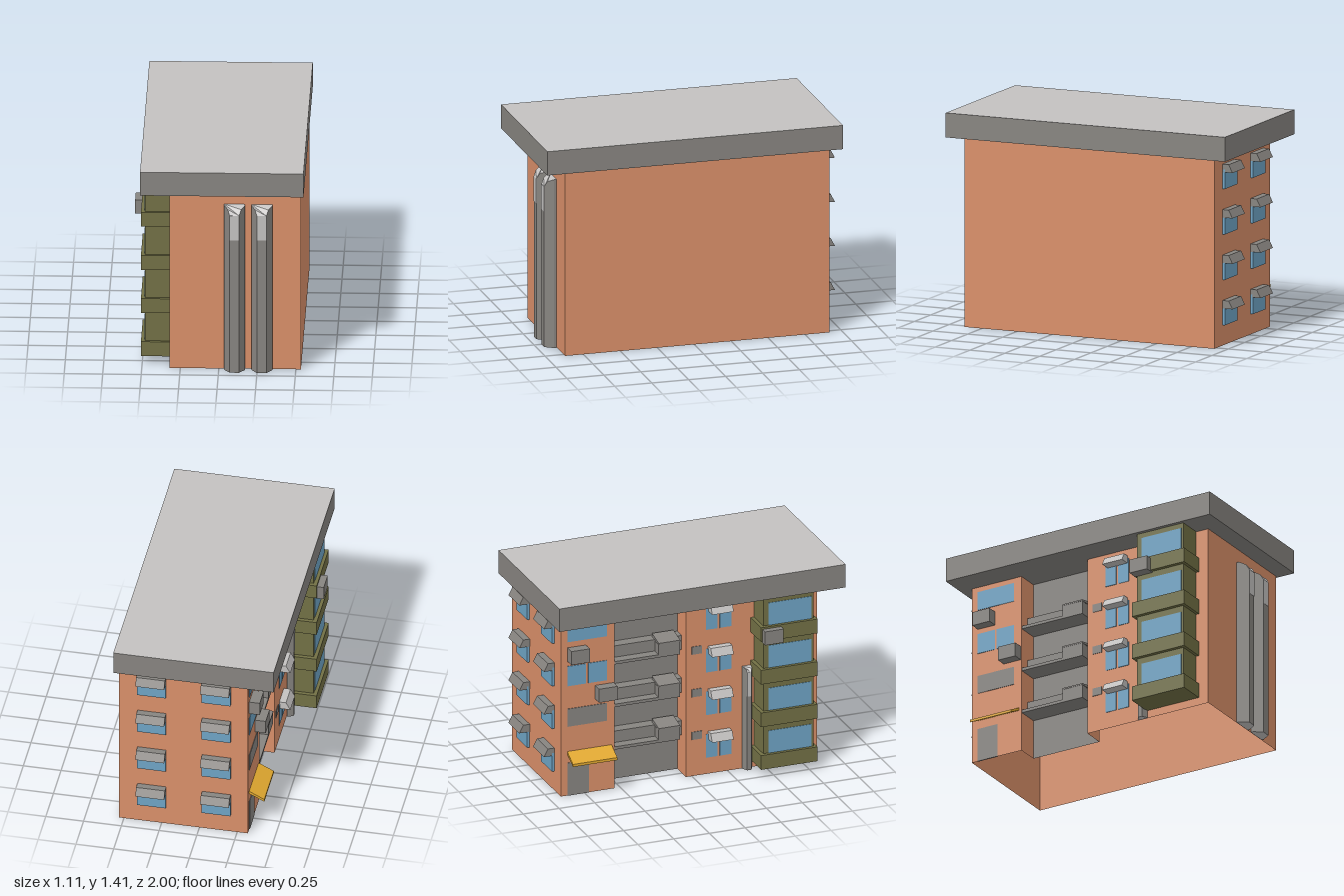
import * as THREE from 'three';

const material = (name, color, side = THREE.FrontSide) => {
  const m = new THREE.MeshStandardMaterial({ color, side });
  m.name = name;
  return m;
};

export function createModel() {
  const model = new THREE.Group();
  model.name = 'apartmentBlock';
  const brick = material('brick', 0xd98f69, THREE.DoubleSide);
  const concrete = material('concrete', 0x878480, THREE.DoubleSide);
  const paleGrey = material('paleGrey', 0xc3c1c0);
  const olive = material('olive', 0x727045);
  const glass = material('glass', 0x6ea3c4);
  const yellow = material('yellow', 0xe0a830);

  const add = (parent, name, geometry, mat) => {
    const mesh = new THREE.Mesh(geometry, mat);
    mesh.name = name;
    parent.add(mesh);
    return mesh;
  };
  // Box given by its two extreme corners
  const box = (parent, name, mat, x0, x1, y0, y1, z0, z1) => {
    const g = new THREE.BoxGeometry(x1 - x0, y1 - y0, z1 - z0);
    g.translate((x0 + x1) / 2, (y0 + y1) / 2, (z0 + z1) / 2);
    return add(parent, name, g, mat);
  };
  // Prism along x with a profile of [outwards z, y] points
  const prism = (parent, name, mat, profile, x0, x1) => {
    const shape = new THREE.Shape(profile.map(p => new THREE.Vector2(...p)));
    const g = new THREE.ExtrudeGeometry(shape, { depth: x1 - x0, bevelEnabled: false });
    g.rotateY(-Math.PI / 2).translate(x1, 0, 0);
    return add(parent, name, g, mat);
  };

  // Walls: an open shell around the plan, with a recess on one side
  const TOP = 1.245;
  const plan = [
    [-0.32, 0.875], [0.533, 0.875], [0.533, -0.915], [-0.32, -0.915],
    [-0.32, -0.54], [-0.17, -0.54], [-0.17, -0.04], [-0.32, -0.04],
  ];
  plan.forEach(([ax, az], i) => {
    const [bx, bz] = plan[(i + 1) % plan.length];
    const g = new THREE.PlaneGeometry(Math.hypot(bx - ax, bz - az), TOP);
    g.rotateY(Math.atan2(az - bz, bx - ax));
    g.translate((ax + bx) / 2, TOP / 2, (az + bz) / 2);
    add(model, i === 5 ? 'recessWall' : 'wall', g, i === 5 ? concrete : brick);
  });

  // Roof slab with a pale top
  const roof = box(model, 'roof', concrete, -0.508, 0.553, TOP, 1.407, -1, 1);
  roof.material = [concrete, concrete, paleGrey, concrete, concrete, concrete];

  // Facade frames: local z points out of the wall
  const facade = (name, x, z, turn) => {
    const group = new THREE.Group();
    group.name = name;
    group.position.set(x, 0, z);
    group.rotation.y = turn;
    model.add(group);
    return group;
  };
  const front = facade('frontFacade', 0, 0.875, 0);
  const back = facade('backFacade', 0, -0.915, Math.PI);
  const side = facade('sideFacade', -0.32, 0, -Math.PI / 2); // local x = world z

  const awning = (parent, mat, x0, x1, y) => prism(parent, 'windowAwning', mat,
    [[0, y + 0.245], [0.073, y + 0.245], [0.045, y + 0.298], [0, y + 0.298]], x0, x1);
  const panel = (name, mat, x0, x1, y0, y1) =>
    box(side, name, mat, x0, x1, y0, y1, -0.004, 0.004);

  for (let floor = 0; floor < 4; floor++) {
    const y = floor * 0.3;
    // Back windows
    for (const [x0, x1] of [[-0.41, -0.22], [0.018, 0.208]]) {
      box(back, 'windowPane', glass, x0, x1, y + 0.135, y + 0.265, 0.001, 0.018);
      awning(back, concrete, x0, x1, y);
    }
    // Paired windows of the middle side wall
    panel('sidePane', glass, 0.1, 0.18, y + 0.115, y + 0.28);
    panel('sidePane', glass, 0.195, 0.275, y + 0.115, y + 0.28);
    awning(side, paleGrey, 0.115, 0.265, y);
    if (floor < 3) panel('vent', concrete, 0.0, 0.07, y + 0.255, y + 0.31);

    // Bay tower belts and glazing
    box(model, 'bayBelt', olive, -0.508, -0.322, y + 0.053, y + 0.153, 0.41, 0.805);
    box(model, 'bayWindow', glass, -0.486, -0.48, y + 0.153, y + 0.31, 0.47, 0.77);

    // Recessed balconies on the upper floors
    if (floor > 0) {
      const b = y - 0.03;
      box(model, 'balconyParapet', concrete, -0.25, -0.172, b, b + 0.1, -0.538, -0.042);
      box(model, 'balconyFloor', concrete, -0.318, -0.172, b, b + 0.02, -0.538, -0.23);
      box(model, 'balconyBox', concrete, -0.318, -0.25, b, b + 0.09, -0.23, -0.08);
      prism(side, 'balconyCover', concrete,
        [[-0.12, b + 0.1], [0, b + 0.09], [0, b + 0.1], [-0.12, b + 0.125]], -0.23, -0.08);
    }
  }
  box(model, 'bayTower', olive, -0.483, -0.322, 0.053, TOP, 0.435, 0.785);

  // Rear part of the side wall: windows, shutter, door and canopy
  panel('sideWindow', glass, -0.87, -0.595, 1.08, 1.21);
  panel('sideWindow', glass, -0.87, -0.74, 0.77, 0.91);
  panel('sideWindow', glass, -0.725, -0.595, 0.77, 0.91);
  panel('shutter', concrete, -0.87, -0.595, 0.485, 0.61);
  panel('door', concrete, -0.87, -0.72, 0, 0.23);
  prism(side, 'doorCanopy', yellow,
    [[0, 0.29], [0.1, 0.24], [0.1, 0.258], [0, 0.31]], -0.87, -0.56);

  // Air conditioners: [z, y, distance from the wall]
  for (const [z, y, d] of [[-0.87, 0.945, 0], [-0.675, 0.65, 0], [0.42, 0.945, 0.163]])
    box(side, 'airConditioner', concrete, z, z + 0.13, y, y + 0.095, d, d + 0.07);

  // Faceted ducts whose pale tops curve back to the wall
  const duct = (parent, x, width, depth, height) => {
    const w = width / 2;
    const half = [[1, 0], [1, 0.25], [0.633, 0.75], [0.45, 1]];
    const mirrored = half.map(([px, d]) => [-px, d]).reverse();
    const shape = new THREE.Shape(
      [...half, ...mirrored].map(([px, d]) => new THREE.Vector2(px * w, -d * depth)));
    const g = new THREE.ExtrudeGeometry(shape, { depth: height, bevelEnabled: false });
    g.rotateX(-Math.PI / 2);
    const p = g.attributes.position;
    for (let i = 0; i < p.count; i++)
      if (p.getY(i) > height / 2)
        p.setY(i, height - 0.72 * depth * (p.getZ(i) / depth) ** 4);
    g.computeVertexNormals();
    g.translate(x, 0, 0.002);
    add(parent, 'duct', g, [paleGrey, concrete]);
    const edge = height - 0.72 * depth;
    box(parent, 'ductPlate', paleGrey, x - w * 0.45, x + w * 0.45,
      edge - 0.17, edge, depth, depth + 0.004);
  };
  duct(front, 0.103, 0.137, 0.073, 1.145);
  duct(front, 0.28, 0.137, 0.073, 1.145);
  duct(side, 0.385, 0.065, 0.043, 0.72);

  return model;
}
